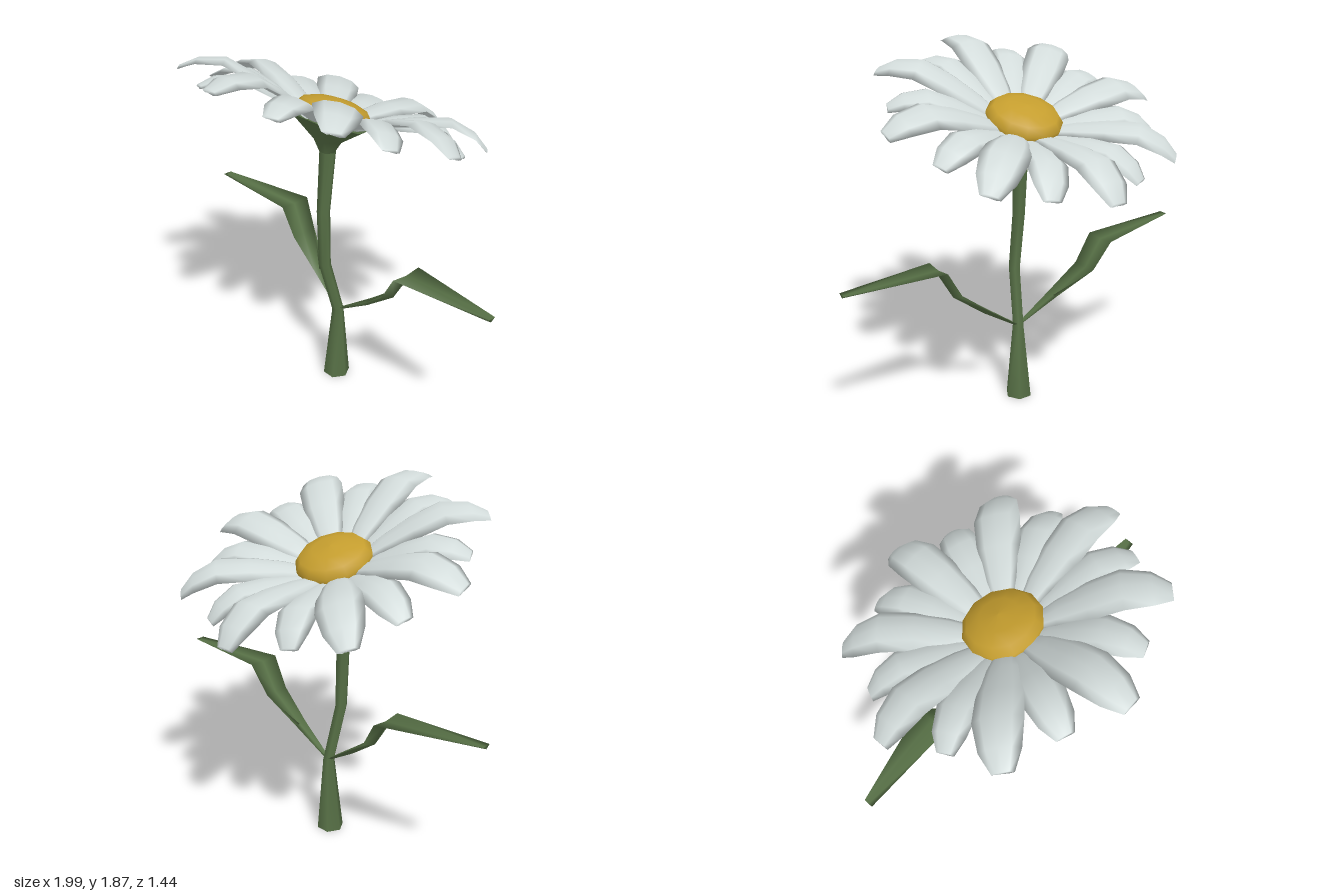
import * as THREE from 'three';
import { toCreasedNormals } from 'three/addons/utils/BufferGeometryUtils.js';

const V = (x, y, z) => new THREE.Vector3(x, y, z);

// Closed skin over a row of equal loops, with both ends capped
function loft(loops) {
  const n = loops[0].length, last = loops.length - 1;
  const pts = loops.flat(), tris = [];
  for (let i = 0; i < last; i++) {
    for (let j = 0; j < n; j++) {
      const a = i * n + j, b = i * n + (j + 1) % n;
      tris.push([a, b, a + n], [b, b + n, a + n]);
    }
  }
  for (let j = 1; j < n - 1; j++) {
    tris.push([0, j + 1, j], [last * n, last * n + j, last * n + j + 1]);
  }
  // Turn the faces outward if the enclosed volume comes out negative
  const volume = tris.reduce((s, [a, b, c]) => s + pts[a].dot(pts[b].clone().cross(pts[c])), 0);
  if (volume < 0) tris.forEach(t => t.reverse());
  const geo = new THREE.BufferGeometry().setFromPoints(pts);
  geo.setIndex(tris.flat());
  geo.computeVertexNormals();
  return geo;
}

// Six-sided ring, tilted about x
function ring(x, y, z, r, tilt = 0) {
  return Array.from({ length: 6 }, (_, i) => {
    const a = i * Math.PI / 3;
    return V(r * Math.cos(a), 0, r * Math.sin(a)).applyAxisAngle(V(1, 0, 0), tilt).add(V(x, y, z));
  });
}

// Arched petal along +z: rows of radius, ridge height, half width
function petalGeometry() {
  const rows = [
    [0.14, -0.05, 0.045], [0.25, 0.0, 0.08], [0.4, 0.055, 0.108],
    [0.56, 0.095, 0.114], [0.69, 0.06, 0.094], [0.77, 0.0, 0.05],
  ];
  return loft(rows.map(([r, h, w]) => {
    const drop = w * 0.3, t = 0.014;
    return [
      V(-w, h - drop, r), V(-w * 0.6, h - drop * 0.25, r), V(0, h, r),
      V(w * 0.6, h - drop * 0.25, r), V(w, h - drop, r),
      V(w * 0.55, h - drop * 0.4 - t, r), V(0, h - t, r), V(-w * 0.55, h - drop * 0.4 - t, r),
    ];
  }));
}

// Shallow gutter-shaped leaf: rows of x, y, z, half width
function leafGeometry(rows) {
  return loft(rows.map(([x, y, z, w], i) => {
    const p = rows[Math.max(i - 1, 0)], q = rows[Math.min(i + 1, rows.length - 1)];
    const up = V(-(q[1] - p[1]), q[0] - p[0], 0).normalize();
    if (up.y < 0) up.negate();
    const at = (k, dz) => V(x, y, z + dz).addScaledVector(up, k);
    const d = Math.min(0.014, w * 0.35);
    return [at(0.004, -w), at(-d * 0.4, 0), at(0.004, w), at(-d * 1.5, 0)];
  }));
}

export function createModel() {
  const model = new THREE.Group();
  const green = new THREE.MeshStandardMaterial({ color: 0x566f45 });
  green.name = 'leaf green';
  const white = new THREE.MeshStandardMaterial({ color: 0xd2dbda });
  white.name = 'petal white';
  const yellow = new THREE.MeshStandardMaterial({ color: 0xc49d2e });
  yellow.name = 'centre yellow';

  const add = (parent, name, geo, mat) => {
    const mesh = new THREE.Mesh(geo, mat);
    mesh.name = name;
    parent.add(mesh);
    return mesh;
  };
  const tilt = -0.367;

  // Stem: wide foot, pinched at the leaves, bowed above them
  add(model, 'stem', toCreasedNormals(loft([
    ring(-0.013, 0, 0.02, 0.072), ring(-0.006, 0.42, 0.015, 0.031),
    ring(-0.03, 0.72, 0.085, 0.032), ring(-0.05, 1.02, 0.073, 0.035),
    ring(-0.043, 1.37, 0.045, 0.043),
  ]), 1.15), green);

  // Green cup under the flower
  add(model, 'cup', toCreasedNormals(loft([
    ring(-0.043, 1.35, 0.046, 0.043), ring(-0.042, 1.41, 0.042, 0.075, tilt / 2),
    ring(-0.041, 1.497, 0.028, 0.2, tilt),
  ]), 1.15), green);

  // Two bent leaves
  add(model, 'leftLeaf', leafGeometry([
    [0, 0.42, 0.01, 0.012], [0.2, 0.56, 0.01, 0.038], [0.38, 0.695, 0.01, 0.072],
    [0.475, 0.852, 0.01, 0.09], [0.995, 0.847, 0, 0.025],
  ]), green);
  add(model, 'rightLeaf', leafGeometry([
    [-0.01, 0.42, 0.01, 0.012], [-0.2, 0.56, -0.03, 0.04], [-0.38, 0.695, -0.075, 0.075],
    [-0.47, 0.845, -0.09, 0.09], [-0.995, 0.863, -0.02, 0.025],
  ]), green);

  // Flower head, leaning toward -z
  const head = new THREE.Group();
  head.name = 'flowerHead';
  head.position.set(-0.041, 1.57, 0);
  head.rotation.x = tilt;
  model.add(head);

  // Eight long petals above, eight shorter ones between and below
  const petal = petalGeometry();
  for (let i = 0; i < 16; i++) {
    const short = i % 2 === 1;
    const mesh = add(head, short ? 'lowerPetal' : 'upperPetal', petal, white);
    mesh.rotation.y = i * Math.PI / 8;
    if (short) {
      mesh.scale.setScalar(0.88);
      mesh.position.y = -0.03;
    }
  }

  // Low domed centre
  const dome = [[0.19, -0.06], [0.196, -0.025], [0.165, 0.012], [0.095, 0.036], [0, 0.045]];
  add(head, 'centre', new THREE.LatheGeometry(dome.map(p => new THREE.Vector2(...p)), 12), yellow);

  return model;
}
